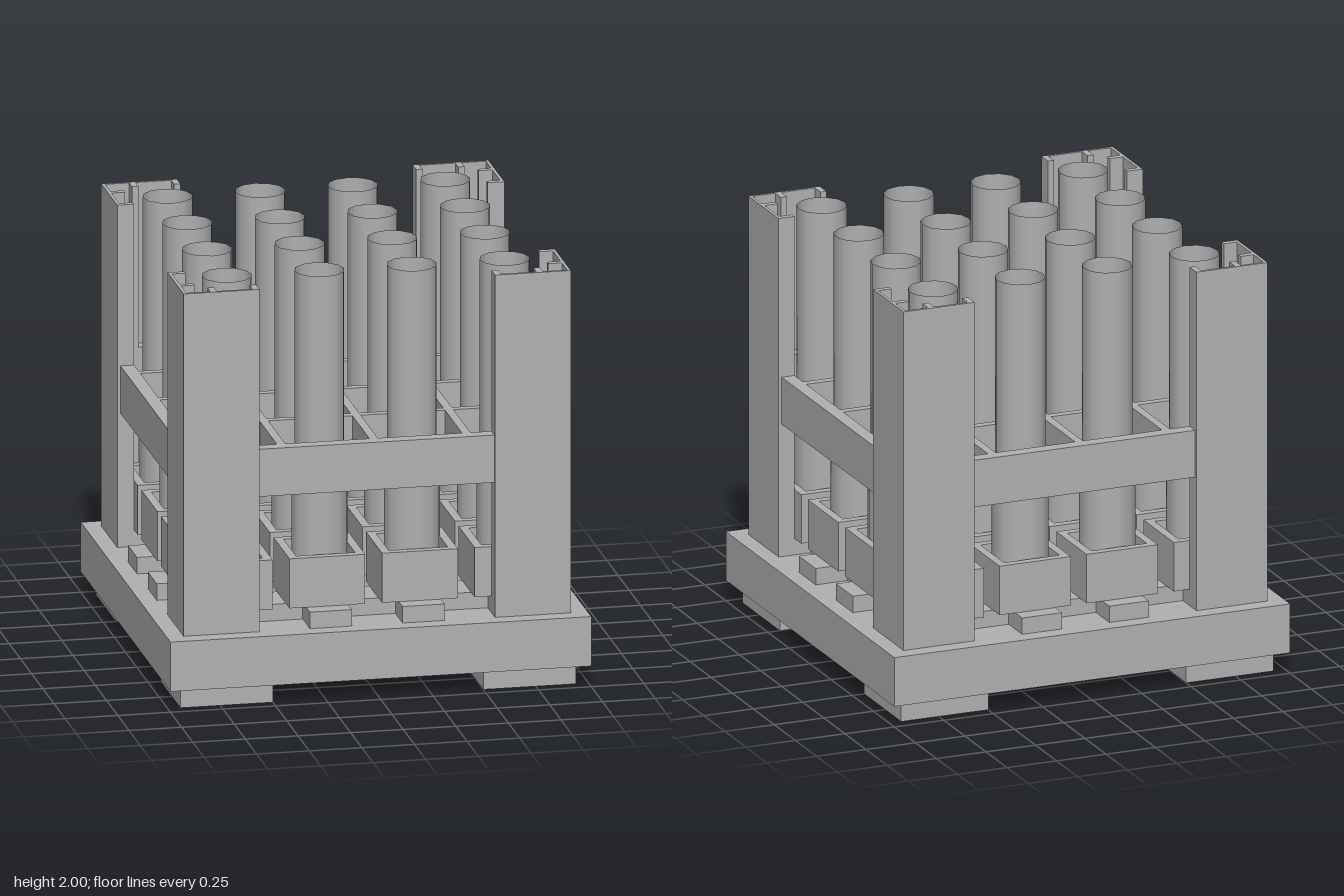
import * as THREE from 'three';

export function createModel() {
  const model = new THREE.Group();
  const grey = new THREE.MeshStandardMaterial({ color: 0xb0b0b0, side: THREE.DoubleSide });
  grey.name = 'plainGrey';

  const add = (name, geometry, x = 0, y = 0, z = 0, parent = model) => {
    const mesh = new THREE.Mesh(geometry, grey);
    mesh.name = name;
    mesh.position.set(x, y, z);
    parent.add(mesh);
    return mesh;
  };
  // box given by its limits
  const box = (name, x0, x1, y0, y1, z0, z1, parent) =>
    add(name, new THREE.BoxGeometry(x1 - x0, y1 - y0, z1 - z0),
      (x0 + x1) / 2, (y0 + y1) / 2, (z0 + z1) / 2, parent);
  // square frame standing between two heights
  const square = (path, h) => {
    path.moveTo(-h, -h); path.lineTo(h, -h); path.lineTo(h, h); path.lineTo(-h, h);
    path.closePath();
    return path;
  };
  const frameGeometry = (outer, inner, height) => {
    const shape = square(new THREE.Shape(), outer);
    shape.holes.push(square(new THREE.Path(), inner));
    return new THREE.ExtrudeGeometry(shape, { depth: height, bevelEnabled: false }).rotateX(-Math.PI / 2);
  };

  // base: frame with a cross of beams in its opening
  add('baseFrame', frameGeometry(1, 0.6, 0.24), 0, 0.1, 0);
  box('baseBeam', -0.6, 0.6, 0.1, 0.34, -0.08, 0.08);
  for (const s of [-1, 1])
    box('baseCrossBeam', -0.08, 0.08, 0.1, 0.34, s > 0 ? 0.08 : -0.6, s > 0 ? 0.6 : -0.08);

  // feet
  for (const x of [-0.72, 0.72]) for (const z of [-0.72, 0.72])
    add('foot', new THREE.BoxGeometry(0.44, 0.1, 0.44), x, 0.05, z);

  // lattice of slats under the sockets
  const rows = [-0.66, -0.22, 0.22, 0.66];
  for (const p of rows) {
    box('longSlat', p - 0.1, p + 0.1, 0.34, 0.42, -0.92, 0.92);
    const edges = [-0.92, -0.76, -0.56, -0.32, -0.12, 0.12, 0.32, 0.56, 0.76, 0.92];
    for (let i = 0; i < edges.length; i += 2)
      box('crossSlat', edges[i], edges[i + 1], 0.34, 0.42, p - 0.1, p + 0.1);
  }

  // tubes in square sockets
  const socket = frameGeometry(0.18, 0.14, 0.24);
  const sleeve = new THREE.LatheGeometry([
    new THREE.Vector2(0.133, 0.42), new THREE.Vector2(0.133, 1.1),
  ], 12);
  const sleeveTop = new THREE.RingGeometry(0.112, 0.133, 12).rotateX(-Math.PI / 2);
  const tube = new THREE.CylinderGeometry(0.118, 0.118, 0.9, 12, 1, true);
  for (const x of rows) for (const z of rows) {
    add('socket', socket, x, 0.42, z);
    add('tubeSleeve', sleeve, x, 0, z);
    add('sleeveTop', sleeveTop, x, 1.1, z);
    add('tube', tube, x, 1.55, z);
  }

  // middle band and its dividers
  add('middleBand', frameGeometry(0.905, 0.84, 0.23), 0, 0.99, 0);
  for (const p of [-0.44, 0, 0.44]) {
    box('divider', p - 0.02, p + 0.02, 0.99, 1.22, -0.84, 0.84);
    for (const [a, b] of [[-0.84, -0.46], [-0.42, -0.02], [0.02, 0.42], [0.46, 0.84]])
      box('crossDivider', a, b, 0.99, 1.22, p - 0.02, p + 0.02);
  }

  // corner posts: thin angle with inward ribs, turned to each corner
  const angle = new THREE.Shape();
  [[0.56, 0.92], [0.92, 0.92], [0.92, 0.56], [0.84, 0.56], [0.84, 0.59], [0.905, 0.59],
    [0.905, 0.76], [0.84, 0.76], [0.84, 0.79], [0.905, 0.79], [0.905, 0.905],
    [0.79, 0.905], [0.79, 0.84], [0.76, 0.84], [0.76, 0.905], [0.59, 0.905],
    [0.59, 0.84], [0.56, 0.84]]
    .forEach(([x, y], i) => (i ? angle.lineTo(x, y) : angle.moveTo(x, y)));
  const post = new THREE.ExtrudeGeometry(angle, { depth: 1.66, bevelEnabled: false }).rotateX(-Math.PI / 2);
  for (let i = 0; i < 4; i++)
    add('cornerPost', post, 0, 0.34, 0).rotation.y = i * Math.PI / 2;

  return model;
}
